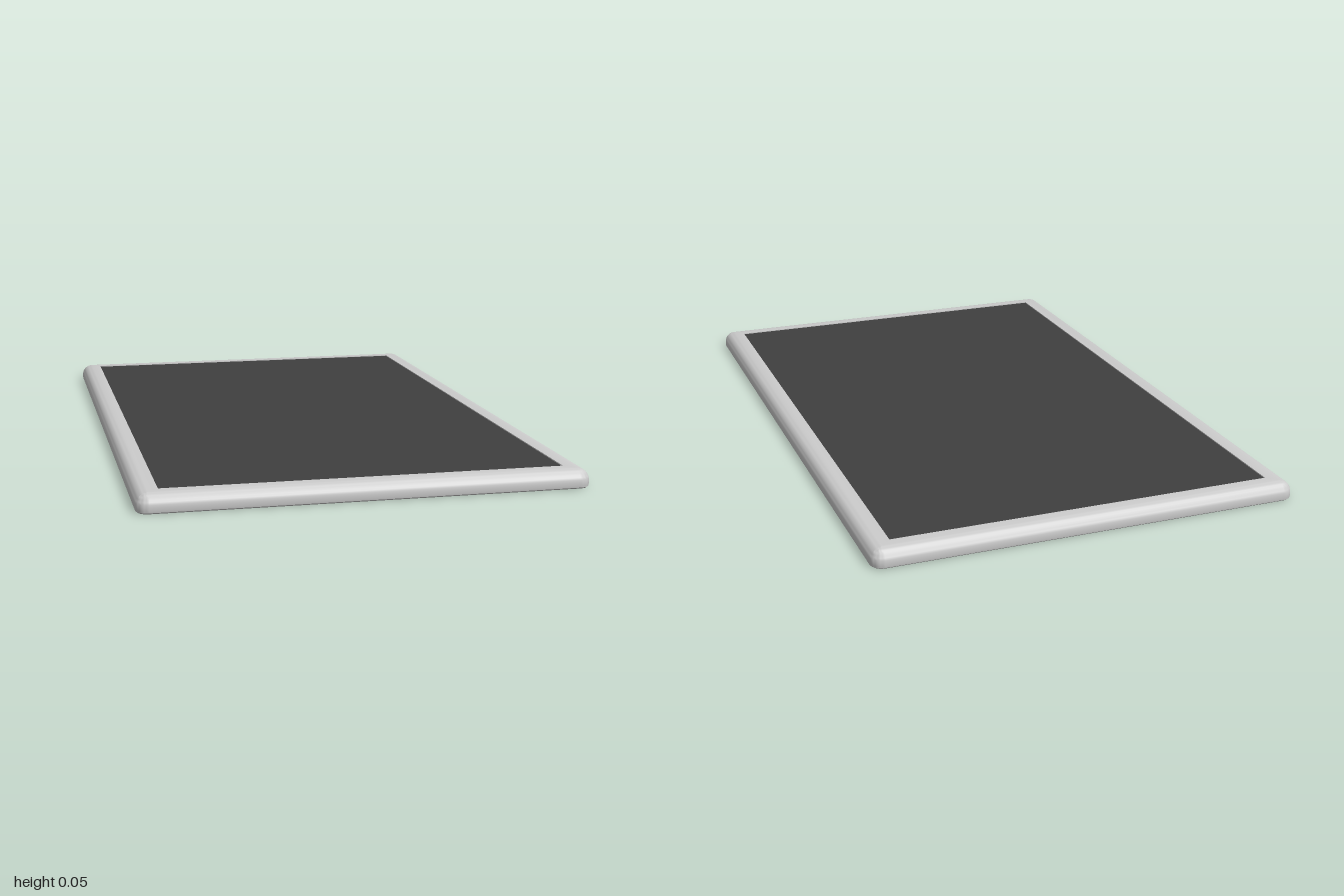
import * as THREE from 'three';
import { toCreasedNormals } from 'three/addons/utils/BufferGeometryUtils.js';

const HX = 0.652, HZ = 1.0, H = 0.055, R = 0.036;
const PANEL_X = 0.585, PANEL_Z = 0.937;

// Rounded rectangle ring at height y, four corners of steps + 1 points each
function ring(hx, hz, r, y, steps = 8) {
  const points = [];
  const signs = [[1, 1], [-1, 1], [-1, -1], [1, -1]];
  signs.forEach(([sx, sz], q) => {
    for (let i = 0; i <= steps; i++) {
      const a = (q + i / steps) * Math.PI / 2;
      points.push(new THREE.Vector3(
        sx * (hx - r) + r * Math.cos(a), y, sz * (hz - r) + r * Math.sin(a)));
    }
  });
  return points;
}

// Skin a list of rings, leaving out collapsed triangles
function loft(rings) {
  const pos = [];
  const tri = (a, b, c) => {
    if (new THREE.Triangle(a, b, c).getArea() < 1e-10) return;
    for (const p of [a, b, c]) pos.push(p.x, p.y, p.z);
  };
  for (let i = 0; i < rings.length - 1; i++) {
    const lo = rings[i], hi = rings[i + 1];
    for (let j = 0; j < lo.length; j++) {
      const k = (j + 1) % lo.length;
      tri(lo[j], hi[j], hi[k]);
      tri(lo[j], hi[k], lo[k]);
    }
  }
  const geo = new THREE.BufferGeometry();
  geo.setAttribute('position', new THREE.Float32BufferAttribute(pos, 3));
  return toCreasedNormals(geo, 0.6);
}

export function createModel() {
  const group = new THREE.Group();
  group.name = 'framedPanel';

  // Frame: flat underside, small lower bevel, rounded outer shoulder, flat inner border
  const inset = (d, y) => ring(HX - d, HZ - d, Math.max(R - d, 0), y);
  const rings = [ring(0, 0, 0, 0), inset(0.006, 0), inset(0.001, 0.004), inset(0, 0.009)];
  for (let i = 0; i <= 8; i++) {
    const a = (i / 8) * Math.PI / 2;
    rings.push(inset(R * (1 - Math.cos(a)), H - R + R * Math.sin(a)));
  }
  rings.push(ring(PANEL_X, PANEL_Z, 0, H), ring(PANEL_X, PANEL_Z, 0, H - 0.01));
  const frame = new THREE.Mesh(loft(rings), new THREE.MeshStandardMaterial({ color: 0xcccccc }));
  frame.name = 'frame';
  group.add(frame);

  // Dark panel set just below the border
  const panel = new THREE.Mesh(
    new THREE.BoxGeometry(PANEL_X * 2, 0.03, PANEL_Z * 2),
    new THREE.MeshStandardMaterial({ color: 0x404040 }));
  panel.position.y = H - 0.003 - 0.015;
  panel.name = 'panel';
  group.add(panel);

  return group;
}
